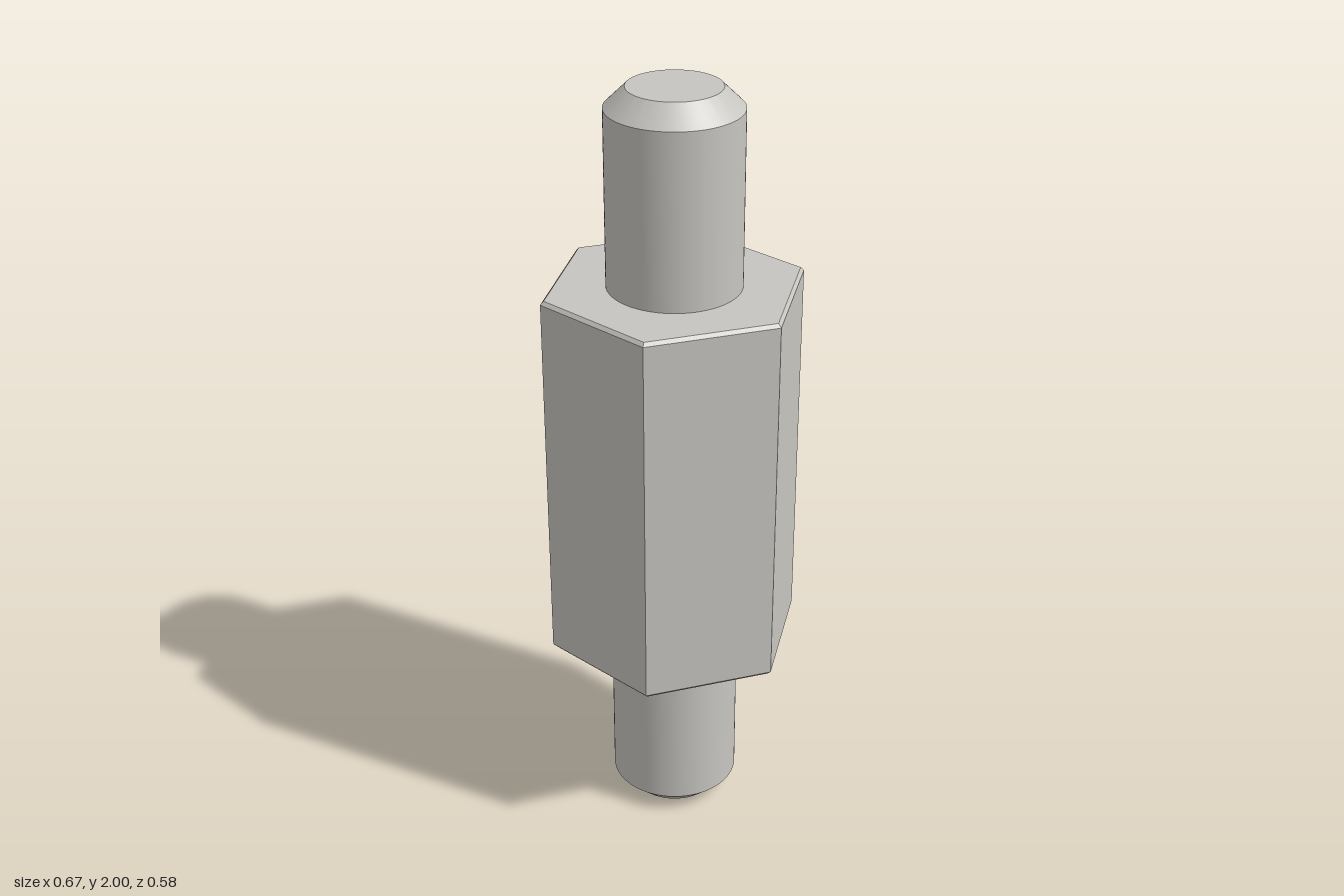
import * as THREE from 'three';
import { toCreasedNormals } from 'three/addons/utils/BufferGeometryUtils.js';

const BODY_BOTTOM = 0.504, BODY_TOP = 1.504;

// Turned solid from [radius, y] pairs listed bottom to top, with sharp edges kept
function turned(name, profile, sides, startAngle, material) {
  const points = profile.map(([r, y]) => new THREE.Vector2(r, y));
  const geometry = new THREE.LatheGeometry(points, sides, startAngle);
  const mesh = new THREE.Mesh(toCreasedNormals(geometry, Math.PI / 8), material);
  mesh.name = name;
  return mesh;
}

// Round pin with a chamfered tip, rising from its own origin
function stud(name, length, material) {
  const profile = [[0.167, 0], [0.167, length - 0.051], [0.115, length], [0, length]];
  return turned(name, profile, 96, 0, material);
}

export function createModel() {
  const model = new THREE.Group();
  model.name = 'hexStandoff';
  const steel = new THREE.MeshStandardMaterial({ color: 0xc7c5c0 });
  steel.name = 'brushed steel';

  // Hexagonal body with small chamfers, corners on the x axis
  const R = 0.335, c = 0.009;
  const body = turned('hexBody', [
    [0, BODY_BOTTOM], [R - c, BODY_BOTTOM], [R, BODY_BOTTOM + c],
    [R, BODY_TOP - c], [R - c, BODY_TOP], [0, BODY_TOP],
  ], 6, Math.PI / 6, steel);

  // Upper and lower studs
  const upper = stud('upperStud', 2 - BODY_TOP, steel);
  upper.position.y = BODY_TOP;
  const lower = stud('lowerStud', BODY_BOTTOM, steel);
  lower.position.y = BODY_BOTTOM;
  lower.rotation.x = Math.PI;

  model.add(body, upper, lower);
  return model;
}
